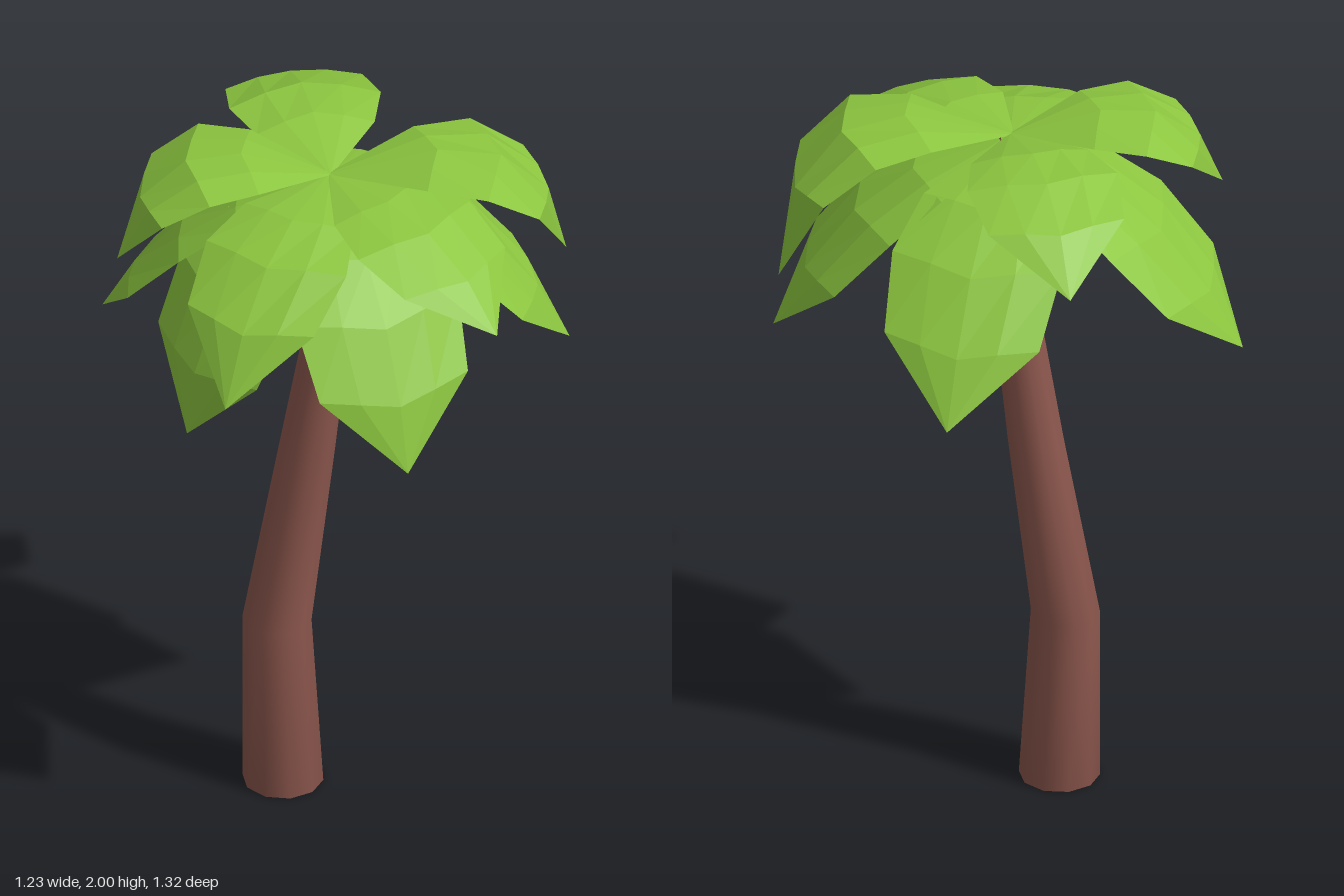
import * as THREE from 'three';
import { mergeVertices } from 'three/addons/utils/BufferGeometryUtils.js';

const bark = new THREE.MeshStandardMaterial({ color: 0x8c574d });
bark.name = 'bark brown';
const green = new THREE.MeshStandardMaterial({ color: 0x8cc63f, side: THREE.DoubleSide });
green.name = 'leaf green';

const HUB = new THREE.Vector3(0.015, 1.93, 0.01);

// Trunk rings from the ground up: x, y, z, radius
const RINGS = [
  [-0.115, 0, 0.028, 0.108],
  [-0.132, 0.5, 0.028, 0.092],
  [-0.065, 1.03, -0.015, 0.075],
  [0.022, 1.55, 0.005, 0.057],
  [0.015, 1.92, 0.01, 0.035],
];

// Bent, tapering trunk with smooth sides
function trunkGeometry() {
  const geo = new THREE.CylinderGeometry(1, 1, 1, 10, RINGS.length - 1);
  const p = geo.attributes.position;
  for (let i = 0; i < p.count; i++) {
    const [x, y, z, r] = RINGS[Math.round((p.getY(i) + 0.5) * (RINGS.length - 1))];
    p.setXYZ(i, x + p.getX(i) * r, y, z + p.getZ(i) * r);
  }
  geo.deleteAttribute('normal');
  geo.deleteAttribute('uv');
  const smooth = mergeVertices(geo, 1e-4);
  smooth.computeVertexNormals();
  return smooth;
}

// Leaf rows: position along the midrib, half width
const UPPER_ROWS = [[0, 0.008], [0.22, 0.16], [0.42, 0.205], [0.69, 0.185], [1, 0]];
const LOWER_ROWS = [[0, 0.008], [0.27, 0.185], [0.49, 0.232], [0.75, 0.212], [1, 0]];
const COLS = [-1, -0.5, 0, 0.5, 1];

// Broad pointed leaf swept along an arching midrib, one flat normal per face
function leafGeometry(tip, control, rows) {
  const out = tip.clone().add(control).addScaledVector(HUB, -2).setY(0).normalize();
  const side = new THREE.Vector3(out.z, 0, -out.x);
  const midrib = new THREE.QuadraticBezierCurve3(HUB, control, tip);
  const point = (i, j) => {
    const [t, half] = rows[i];
    const u = COLS[j];
    const along = t + 0.3 * t * (1 - t) * (1 - Math.abs(u));
    const normal = midrib.getTangent(along).cross(side);
    return midrib.getPoint(along)
      .addScaledVector(side, u * half)
      .addScaledVector(normal, -0.15 * half * u * u);
  };
  const pts = [];
  for (let i = 0; i < rows.length - 1; i++) {
    for (let j = 0; j < COLS.length - 1; j++) {
      const a = point(i, j), b = point(i + 1, j);
      const c = point(i, j + 1), d = point(i + 1, j + 1);
      pts.push(a, b, c);
      if (i < rows.length - 2) pts.push(b, d, c);
    }
  }
  const geo = new THREE.BufferGeometry().setFromPoints(pts);
  geo.computeVertexNormals();
  return geo;
}

// Leaves: tip position, then the position of the arch control
const UPPER = [
  [[-0.38, 1.79, -0.53], [-0.245, 2.1, -0.32]],
  [[0.515, 1.6, -0.395], [0.56, 2.165, -0.245]],
  [[0.61, 1.71, 0.23], [0.425, 2.0, 0.16]],
  [[0.015, 1.56, 0.655], [0.015, 1.965, 0.48]],
  [[-0.455, 1.72, 0.335], [-0.435, 2.13, 0.21]],
];
const LOWER = [
  [[-0.62, 1.38, 0.08], [-0.41, 1.82, 0.056]],
  [[-0.2, 1.3, 0.44], [-0.19, 1.8, 0.42]],
  [[0.42, 1.31, 0.38], [0.347, 1.81, 0.313]],
  [[0.57, 1.39, -0.3], [0.4, 1.86, -0.205]],
  [[-0.08, 1.39, -0.66], [-0.047, 1.86, -0.426]],
];

function leafRing(name, leaves, rows) {
  const ring = new THREE.Group();
  ring.name = name + 'Leaves';
  leaves.forEach(([tip, control]) => {
    const geo = leafGeometry(new THREE.Vector3(...tip), new THREE.Vector3(...control), rows);
    const leaf = new THREE.Mesh(geo, green);
    leaf.name = name + 'Leaf';
    ring.add(leaf);
  });
  return ring;
}

export function createModel() {
  const tree = new THREE.Group();
  tree.name = 'palmTree';
  const trunk = new THREE.Mesh(trunkGeometry(), bark);
  trunk.name = 'trunk';
  tree.add(trunk, leafRing('upper', UPPER, UPPER_ROWS), leafRing('lower', LOWER, LOWER_ROWS));
  return tree;
}
